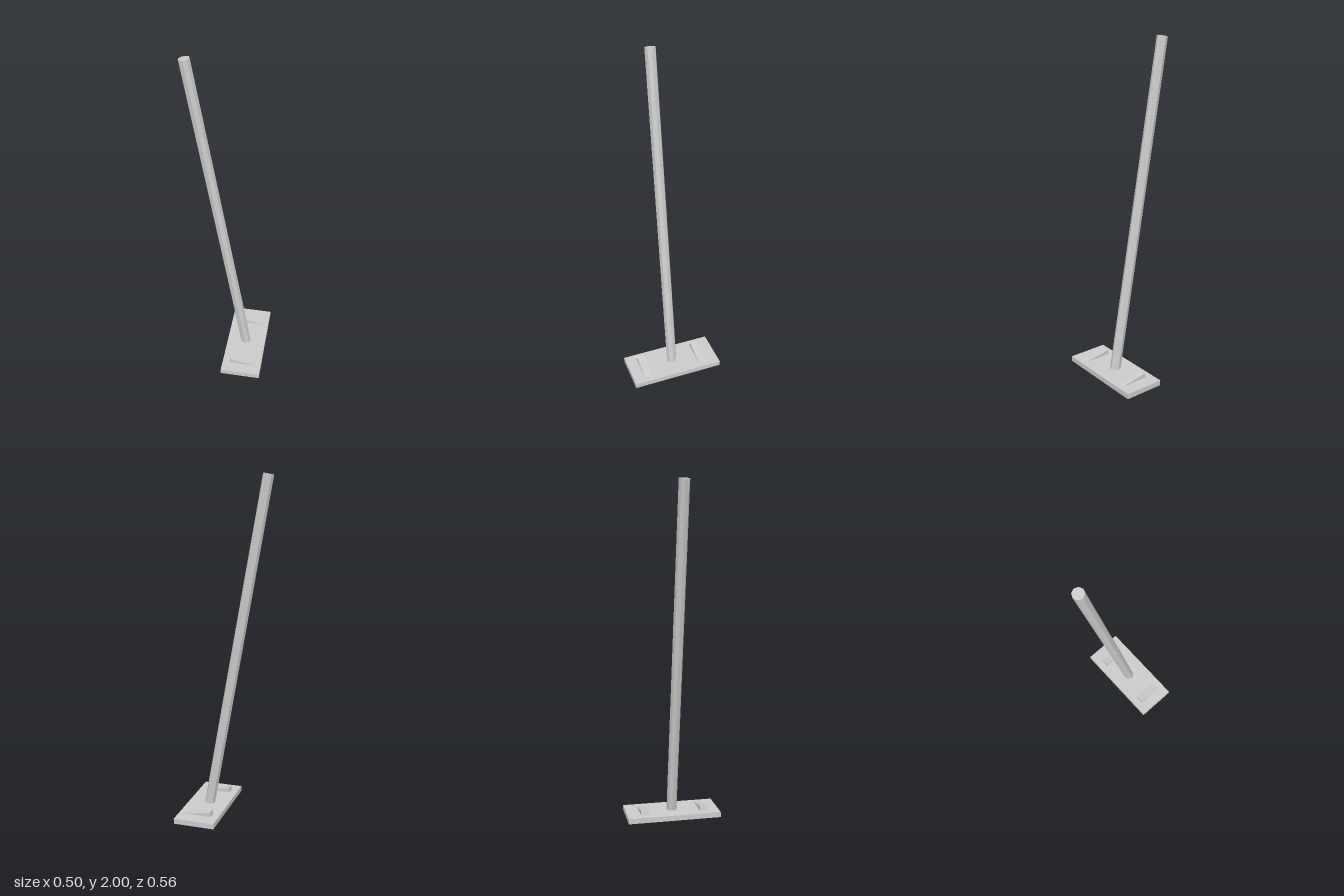
import * as THREE from 'three';

const material = new THREE.MeshStandardMaterial({ color: 0xcccccc, flatShading: true });
const TILT = THREE.MathUtils.degToRad(10.06);

function addPart(group, name, geometry, x, y, z, tilt = 0) {
  const mesh = new THREE.Mesh(geometry, material);
  mesh.name = name;
  mesh.position.set(x, y, z);
  mesh.rotation.z = tilt;
  group.add(mesh);
  return mesh;
}

export function createModel() {
  const group = new THREE.Group();
  group.name = 'leaningPole';

  // Flat rectangular base plate
  addPart(group, 'basePlate', new THREE.BoxGeometry(0.243, 0.032, 0.565), 0.13, 0.028, 0);

  // Eight-sided pole leaning towards -x, its foot passing through the plate
  addPart(group, 'pole', new THREE.CylinderGeometry(0.0315, 0.0315, 2.02, 8), -0.0445, 1, 0, TILT);

  // Two tilted blocks sunk into the plate, so that they stand out as wedges
  const block = new THREE.BoxGeometry(0.168, 0.03, 0.048);
  addPart(group, 'frontWedge', block, 0.137, 0.0426, 0.188, -TILT);
  addPart(group, 'backWedge', block, 0.137, 0.0426, -0.178, -TILT);

  return group;
}
